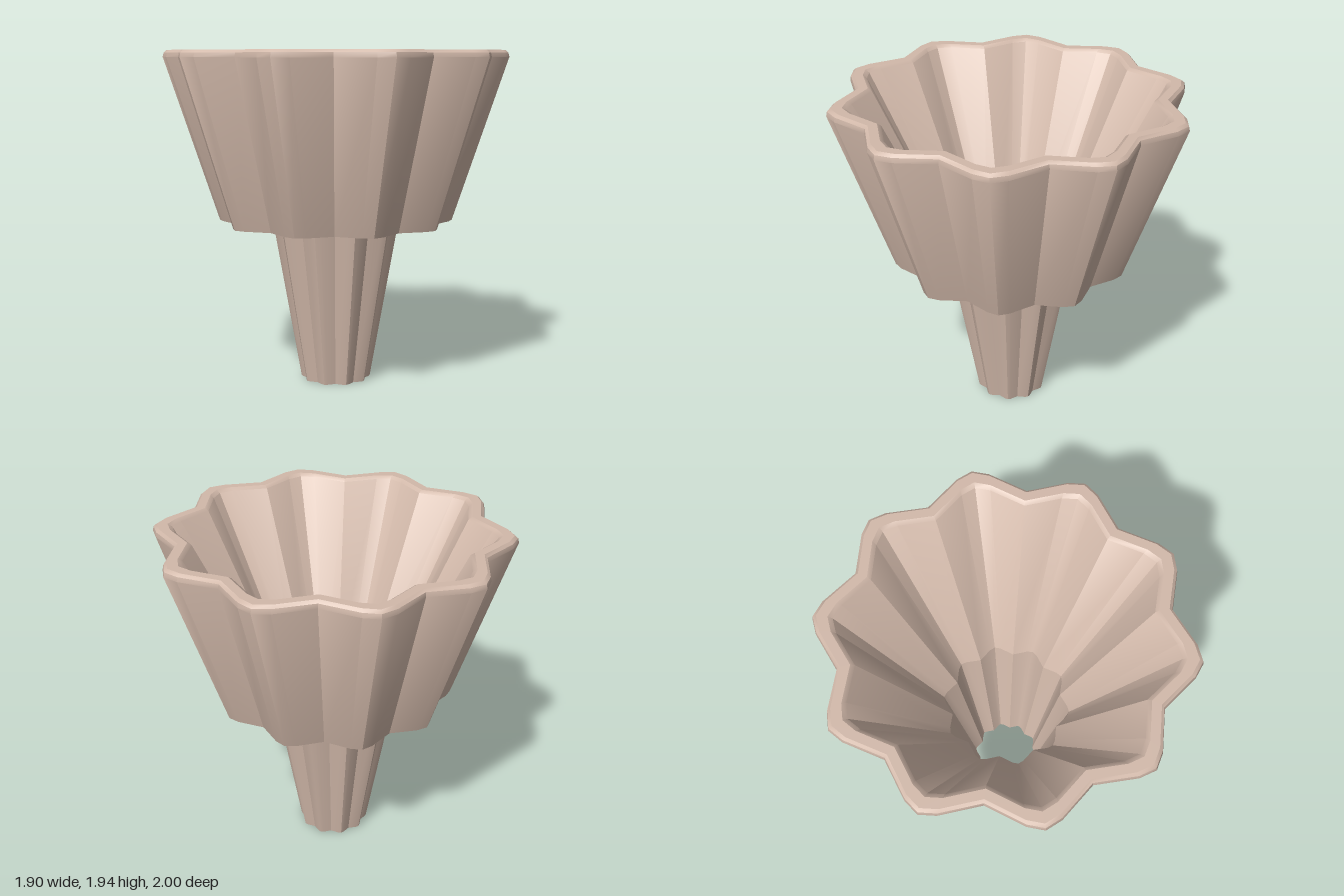
import * as THREE from 'three';
import { toCreasedNormals } from 'three/addons/utils/BufferGeometryUtils.js';

const LOBES = 10;
// One lobe of the fluted outline: [angle in degrees, relative radius]
const LOBE = [[-5.2, 0.969], [0, 1], [5.2, 0.969], [18, 0.867]];

// Sweeps the fluted outline along a profile of [radius, y] points
function fluted(profile) {
  const outline = [];
  for (let i = 0; i < LOBES; i++) {
    for (const [deg, r] of LOBE) {
      const a = THREE.MathUtils.degToRad(deg + (i * 360) / LOBES);
      outline.push([r * Math.sin(a), r * Math.cos(a)]);
    }
  }
  const n = outline.length;
  const positions = [];
  const index = [];
  profile.forEach(([radius, y], j) => {
    outline.forEach(([x, z], i) => {
      positions.push(x * radius, y, z * radius);
      if (j === 0) return;
      const next = (i + 1) % n;
      const a = (j - 1) * n + i, b = (j - 1) * n + next;
      const c = j * n + next, d = j * n + i;
      index.push(a, b, c, a, c, d);
    });
  });
  const geometry = new THREE.BufferGeometry();
  geometry.setAttribute('position', new THREE.Float32BufferAttribute(positions, 3));
  geometry.setIndex(index);
  return toCreasedNormals(geometry, THREE.MathUtils.degToRad(32));
}

export function createModel() {
  const group = new THREE.Group();
  group.name = 'flutedFunnel';
  const material = new THREE.MeshStandardMaterial({ color: 0xd2b9aa, side: THREE.DoubleSide });

  const add = (name, profile) => {
    const mesh = new THREE.Mesh(fluted(profile), material);
    mesh.name = name;
    group.add(mesh);
  };

  // Thin spout, open at both ends
  add('spout', [[0.205, 0], [0.372, 0.95]]);

  // Bowl: underside, outer wall, softened rim, inner wall down to the spout
  add('bowl', [
    [0.372, 0.95], [0.684, 0.95], [1, 1.9], [0.994, 1.925], [0.975, 1.94],
    [0.915, 1.94], [0.89, 1.925], [0.372, 0.95],
  ]);

  return group;
}
